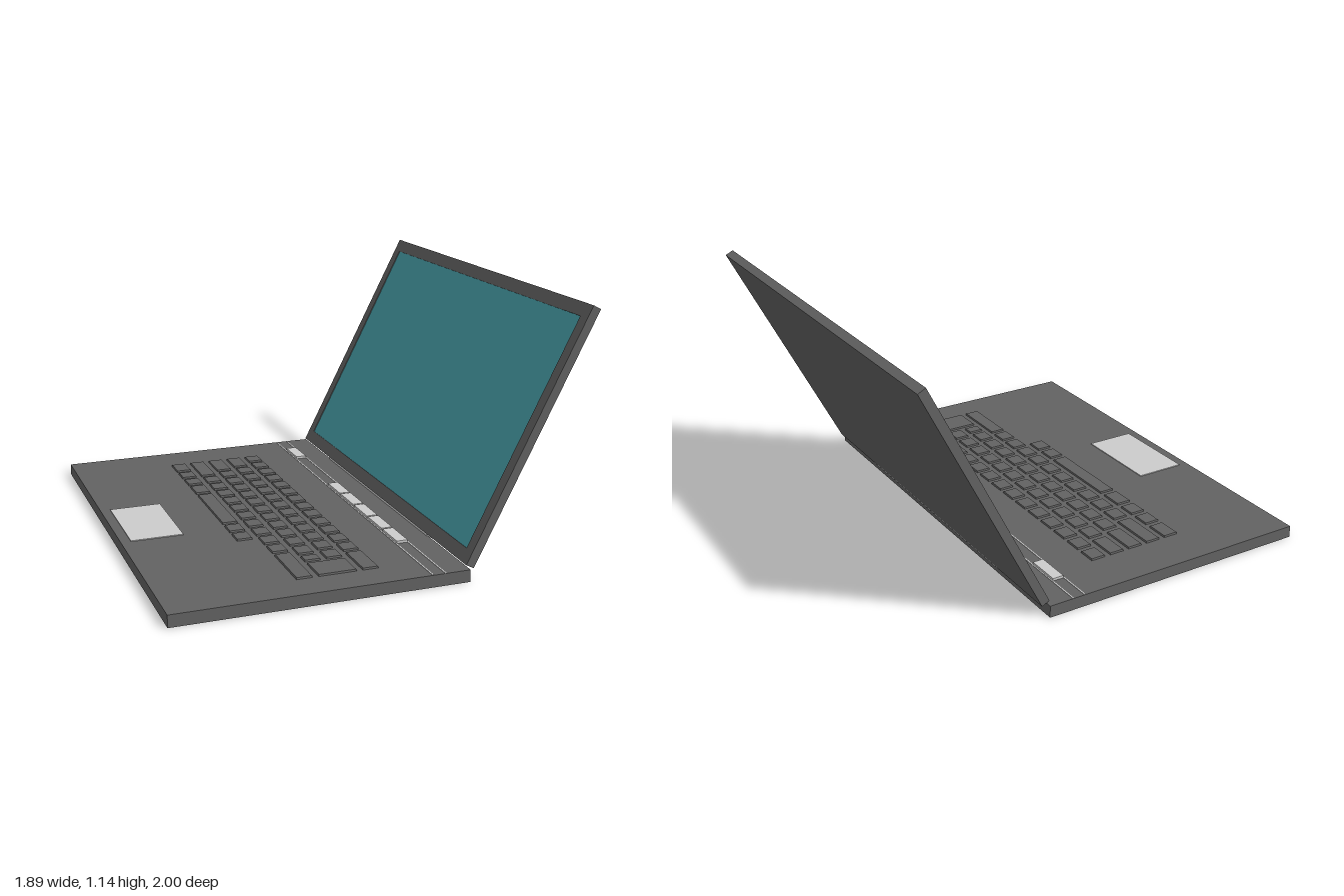
import * as THREE from 'three';

const mat = (color) => new THREE.MeshStandardMaterial({ color, flatShading: true });

export function createModel() {
  const model = new THREE.Group();
  const dark = mat(0x626262), light = mat(0xcccccc), teal = mat(0x489ea7);

  // Box given by its min and max along each axis
  const box = (name, parent, material, [x0, x1], [y0, y1], [z0, z1]) => {
    const mesh = new THREE.Mesh(new THREE.BoxGeometry(x1 - x0, y1 - y0, z1 - z0), material);
    mesh.position.set((x0 + x1) / 2, (y0 + y1) / 2, (z0 + z1) / 2);
    mesh.name = name;
    parent.add(mesh);
    return mesh;
  };

  // Base slab and touchpad
  const deck = 0.055;
  box('base', model, dark, [-0.945, 0.365], [0, deck], [-1, 1]);
  box('touchpad', model, light, [-0.9, -0.66], [deck - 0.01, deck + 0.004], [-0.24, 0.19]);

  // Button strip: two trim lines with buttons between them
  for (const x of [0.192, 0.25]) {
    box('trimLine', model, light, [x - 0.003, x + 0.003], [deck - 0.01, deck + 0.002], [-0.998, 0.998]);
  }
  for (const z of [-0.84, -0.22, -0.05, 0.12, 0.29, 0.46]) {
    box('stripButton', model, light, [0.195, 0.247], [deck - 0.01, 0.067], [z, z + 0.16]);
  }

  // Keyboard: key widths in units, rows from the back to the front
  const keyboard = new THREE.Group();
  keyboard.name = 'keyboard';
  model.add(keyboard);
  const unit = 0.1107, pitch = 0.099, gap = 0.012;
  const keys = (n) => Array(n).fill(1);
  const rows = [
    [...keys(13), 2],
    [1.5, ...keys(12)],
    [1.75, ...keys(11), 0.75],
    [2.25, ...keys(10), 2.75],
    [1.25, 1, 1, 1.25, 4, 1, 1],
  ];
  const addKey = (name, x0, x1, z, width) => {
    const cap = box(name, keyboard, dark, [x0, x1], [deck - 0.005, 0.063], [z + gap, z + width * unit - gap]);
    // Narrow the cap slightly towards its top
    const p = cap.geometry.attributes.position;
    for (let i = 0; i < p.count; i++) {
      if (p.getY(i) > 0) {
        p.setX(i, p.getX(i) - Math.sign(p.getX(i)) * 0.004);
        p.setZ(i, p.getZ(i) - Math.sign(p.getZ(i)) * 0.004);
      }
    }
    cap.geometry.computeVertexNormals();
  };
  rows.forEach((row, r) => {
    const x = 0.012 - r * pitch;
    let z = -0.8;
    for (const width of row) {
      addKey('key', x - 0.075, x, z, width);
      z += width * unit;
    }
  });
  addKey('enterKey', 0.012 - 2 * pitch - 0.075, 0.012 - pitch, -0.8 + 13.5 * unit, 1.5);

  // Hinge barrel
  const hinge = new THREE.Mesh(new THREE.CylinderGeometry(0.018, 0.018, 1.2, 16), mat(0xcccccc));
  hinge.material.flatShading = false;
  hinge.rotation.x = Math.PI / 2;
  hinge.position.set(0.376, 0.058, -0.02);
  hinge.name = 'hinge';
  model.add(hinge);

  // Lid, hinged at its lower front edge and leaning back
  const lid = new THREE.Group();
  lid.name = 'lid';
  lid.position.set(0.355, 0.068, 0);
  lid.rotation.z = -0.473;
  model.add(lid);
  const height = 1.207, half = 0.978;
  box('lidBack', lid, dark, [0.01, 0.04], [0, height], [-half, half]);

  // Bezel with an opening for the recessed screen
  const rect = (S, w, y0, y1) => new S([[-w, y0], [w, y0], [w, y1], [-w, y1]].map(([x, y]) => new THREE.Vector2(x, y)));
  const outline = rect(THREE.Shape, half, 0, height);
  outline.holes.push(rect(THREE.Path, 0.922, 0.06, height - 0.06));
  const bezel = new THREE.Mesh(new THREE.ExtrudeGeometry(outline, { depth: 0.01, bevelEnabled: false }), dark);
  bezel.rotation.y = Math.PI / 2;
  bezel.name = 'bezel';
  lid.add(bezel);
  box('screen', lid, teal, [0.004, 0.012], [0.06, height - 0.06], [-0.922, 0.922]);

  return model;
}
